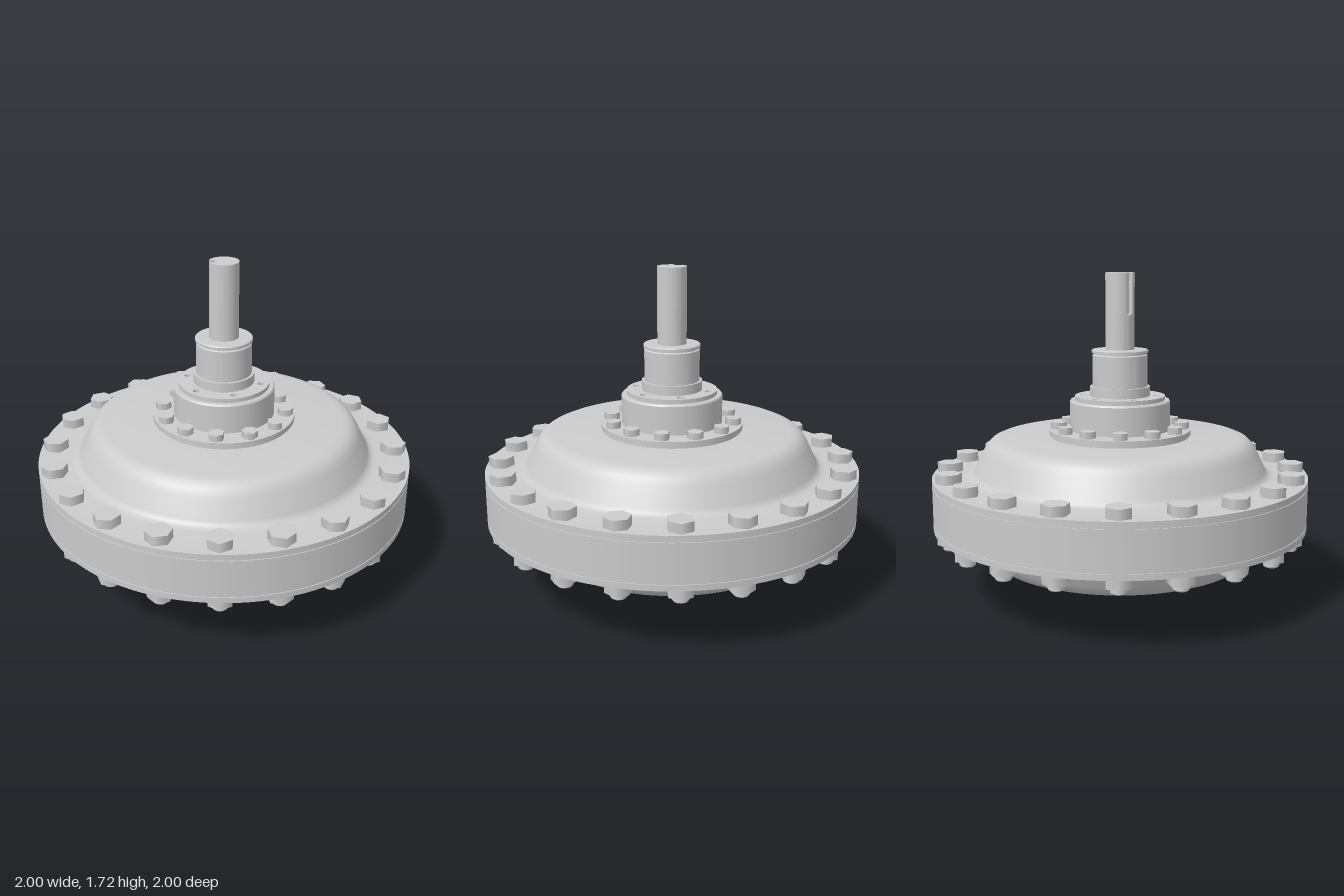
import * as THREE from 'three';
import { toCreasedNormals } from 'three/addons/utils/BufferGeometryUtils.js';

const grey = new THREE.MeshStandardMaterial({ color: 0xcccccc });

function add(parent, name, geometry) {
  const mesh = new THREE.Mesh(geometry, grey);
  mesh.name = name;
  parent.add(mesh);
  return mesh;
}

// Turned part from [radius, height] pairs, listed bottom to top
function turned(points, segments = 96) {
  const profile = points.map(([r, y]) => new THREE.Vector2(r, y));
  return toCreasedNormals(new THREE.LatheGeometry(profile, segments), 0.5);
}

// Hexagon prism from y0 to y1, a corner pointing outward
function hex(r, y0, y1) {
  return new THREE.CylinderGeometry(r, r, y1 - y0, 6).toNonIndexed().translate(0, (y0 + y1) / 2, 0);
}

// Copies of a part around the axis
function ring(parent, name, count, radius, startDegrees, build) {
  const group = new THREE.Group();
  group.name = name;
  for (let i = 0; i < count; i++) {
    const arm = new THREE.Group();
    arm.rotation.y = THREE.MathUtils.degToRad(startDegrees) + (i * 2 * Math.PI) / count;
    const item = new THREE.Group();
    item.position.z = radius;
    build(item);
    arm.add(item);
    group.add(arm);
  }
  parent.add(group);
}

// Slice of a shaft with a keyway cut in its side
function keyedSlice(r, y0, y1, width, depth, turn) {
  const half = Math.asin(width / 2 / r);
  const shape = new THREE.Shape();
  shape.absarc(0, 0, r, half, 2 * Math.PI - half, false);
  shape.lineTo(r - depth, -width / 2);
  shape.lineTo(r - depth, width / 2);
  shape.closePath();
  const g = new THREE.ExtrudeGeometry(shape, { depth: y1 - y0, bevelEnabled: false, curveSegments: 48 });
  g.rotateX(-Math.PI / 2).rotateY(turn).translate(0, y0, 0);
  return toCreasedNormals(g, 0.5);
}

// Keyway open at yOpen, with a rounded end at yEnd
function keyway(parent, name, r, yOpen, yEnd, width, depth, turn) {
  const dir = Math.sign(yEnd - yOpen);
  const slice = (a, b, w) => add(parent, name, keyedSlice(r, Math.min(a, b), Math.max(a, b), w, depth, turn));
  const yRound = yEnd - (dir * width) / 2;
  slice(yOpen, yRound, width);
  const steps = 6;
  for (let i = 0; i < steps; i++) {
    const t = (i + 0.5) / steps;
    const y = (k) => yRound + (dir * width * k) / 2 / steps;
    slice(y(i), y(i + 1), width * Math.sqrt(1 - t * t));
  }
}

export function createModel() {
  const model = new THREE.Group();
  model.name = 'coupling';

  // Casing: half profile above the middle plane, mirrored for the lower half
  const mid = 0.525;
  const upper = [
    [0.995, 0.1], [0.995, 0.105], [1, 0.105], [1, 0.135], [0.825, 0.135], [0.802, 0.139],
    [0.785, 0.15], [0.775, 0.168], [0.728, 0.265], [0.708, 0.297], [0.686, 0.318],
    [0.66, 0.329], [0.63, 0.333], [0, 0.333],
  ];
  const rim = [[1, -0.1], [1, 0.1]];
  const lower = upper.map(([r, h]) => [r, -h]).reverse();
  add(model, 'casing', turned([...lower, ...rim, ...upper].map(([r, h]) => [r, mid + h]), 128));

  // Rim bolts with nuts below
  ring(model, 'rimBolts', 20, 0.92, 9, (item) => {
    add(item, 'boltHead', hex(0.068, 0.66, 0.71));
    add(item, 'nut', hex(0.068, 0.335, 0.39));
    add(item, 'boltEnd', turned([[0, 0.305], [0.034, 0.305], [0.04, 0.311], [0.04, 0.34]], 24));
  });

  // Hub flange and bearing housing
  add(model, 'hubFlange', turned([
    [0.37, 0.85], [0.37, 0.867], [0.378, 0.867], [0.378, 0.895], [0.268, 0.895],
    [0.268, 1.045], [0.262, 1.053], [0, 1.053],
  ]));
  ring(model, 'hubBolts', 12, 0.328, 3.4, (item) => add(item, 'hubBolt', hex(0.042, 0.893, 0.93)));

  // Cover ring with six small holes
  const cover = new THREE.Shape().absarc(0, 0, 0.24, 0, Math.PI * 2, false);
  cover.holes.push(new THREE.Path().absarc(0, 0, 0.14, 0, Math.PI * 2, true));
  for (let i = 0; i < 6; i++) {
    const a = -THREE.MathUtils.degToRad(5 + 60 * i);
    const hole = new THREE.Path();
    hole.absarc(0.2 * Math.cos(a), 0.2 * Math.sin(a), 0.017, 0, Math.PI * 2, true);
    cover.holes.push(hole);
  }
  const coverGeometry = new THREE.ExtrudeGeometry(cover, { depth: 0.022, bevelEnabled: false, curveSegments: 48 });
  add(model, 'coverRing', toCreasedNormals(coverGeometry.rotateX(-Math.PI / 2).translate(0, 1.053, 0), 0.5));

  // Sleeve around the output shaft
  add(model, 'sleeve', turned([
    [0.16, 1.05], [0.16, 1.125], [0.146, 1.125], [0.146, 1.29], [0.138, 1.295],
    [0.138, 1.303], [0.15, 1.303], [0.15, 1.315], [0.145, 1.32], [0, 1.32],
  ]));

  // Output shaft with keyway
  add(model, 'outputShaft', turned([[0.077, 1.3], [0.077, 1.5], [0, 1.5]], 64));
  keyway(model, 'outputShaftKeyway', 0.077, 1.72, 1.5, 0.045, 0.03, Math.PI + 0.26);

  // Bottom plate with bolts
  add(model, 'bottomPlate', turned([[0, 0.175], [0.215, 0.175], [0.215, 0.2]]));
  ring(model, 'bottomBolts', 4, 0.18, 0, (item) => add(item, 'bottomBolt', hex(0.032, 0.147, 0.178)));

  // Input shaft with keyway
  add(model, 'inputShaft', turned([[0, 0.1], [0.05, 0.1], [0.05, 0.18]], 48));
  keyway(model, 'inputShaftKeyway', 0.05, 0, 0.1, 0.03, 0.018, -2.21);

  return model;
}
